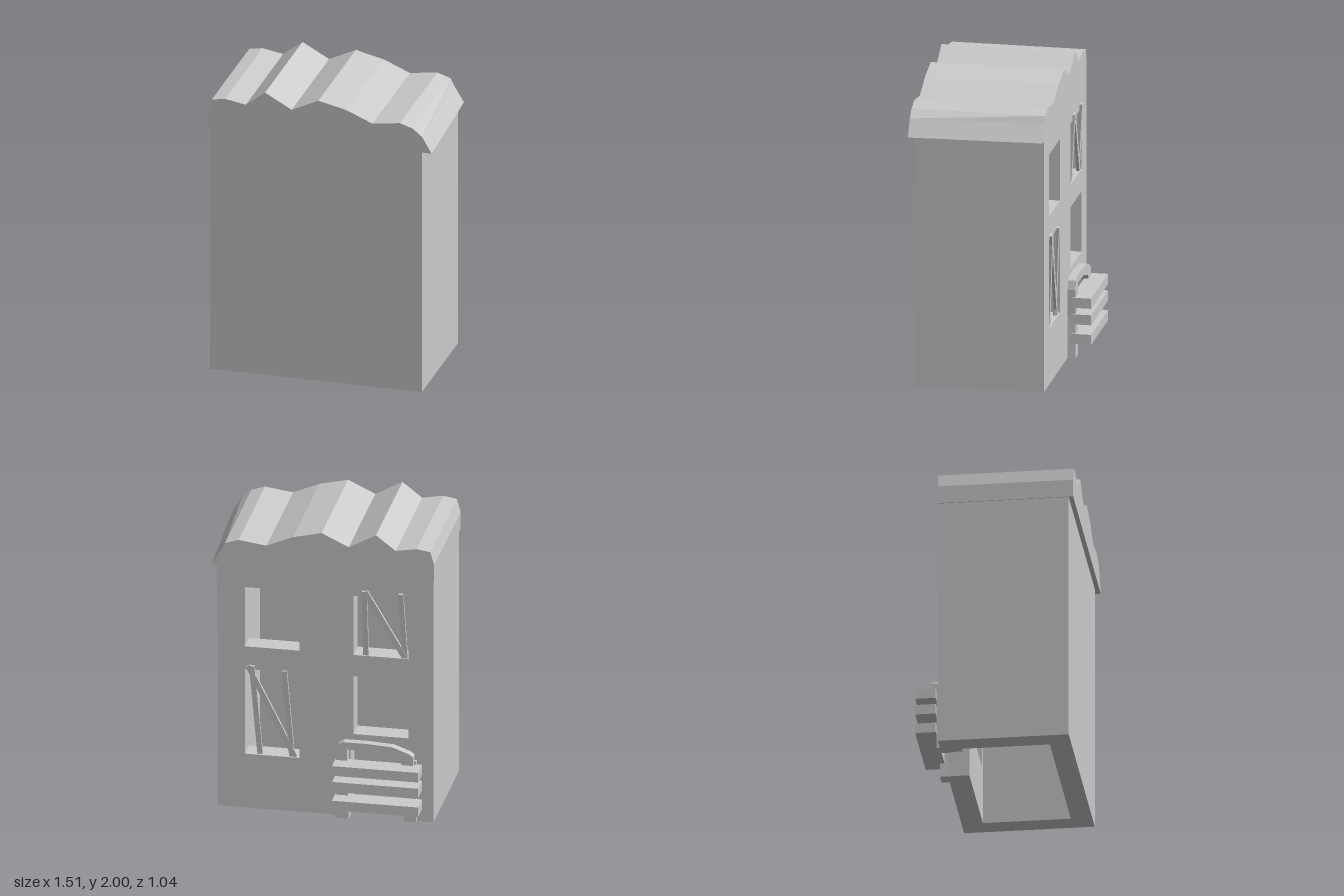
import * as THREE from 'three';

const mat = new THREE.MeshStandardMaterial({ color: 0xcccccc, flatShading: true });
const BACK = -0.365, WALL = 0.14;

export function createModel() {
  const model = new THREE.Group();

  const add = (geo, name, parent = model) => {
    const mesh = new THREE.Mesh(geo, mat);
    mesh.name = name;
    parent.add(mesh);
    return mesh;
  };
  // Box given by its extents on each axis
  const box = (name, x0, x1, y0, y1, z0, z1, parent) =>
    add(new THREE.BoxGeometry(x1 - x0, y1 - y0, z1 - z0), name, parent)
      .position.set((x0 + x1) / 2, (y0 + y1) / 2, (z0 + z1) / 2);
  const polygon = (pts) => new THREE.Shape(pts.map(([x, y]) => new THREE.Vector2(x, y)));
  // Outline in x and y, extruded from z0 to z1
  const slab = (shape, z0, z1) =>
    new THREE.ExtrudeGeometry(shape, { depth: z1 - z0, bevelEnabled: false }).translate(0, 0, z0);
  // Board running between two points
  const board = (name, from, to, width, thick, parent) => {
    const a = new THREE.Vector3(...from), b = new THREE.Vector3(...to);
    const dir = b.clone().sub(a);
    const mesh = add(new THREE.BoxGeometry(width, dir.length(), thick), name, parent);
    mesh.position.copy(a).add(b).multiplyScalar(0.5);
    mesh.quaternion.setFromUnitVectors(new THREE.Vector3(0, 1, 0), dir.normalize());
  };

  // Hollow body, open underneath
  box('frontWall', -0.75, 0.68, 0, 1.7, 0.35, 0.49);
  box('rightWall', -0.75, -0.61, 0, 1.7, BACK + WALL, 0.35);
  box('leftWall', 0.54, 0.68, 0, 1.7, BACK + WALL, 0.35);

  // Back wall with a doorway and four windows
  const wall = polygon([[-0.75, 0], [-0.57, 0], [-0.57, 0.47], [-0.2, 0.47], [-0.2, 0],
    [0.68, 0], [0.68, 1.7], [-0.75, 1.7]]);
  const windows = [[0.135, 0.498, 1.14, 1.56], [-0.585, -0.22, 1.14, 1.56],
    [0.135, 0.498, 0.38, 0.98], [-0.585, -0.22, 0.58, 0.99]];
  for (const [x0, x1, y0, y1] of windows)
    wall.holes.push(polygon([[x0, y0], [x0, y1], [x1, y1], [x1, y0]]));
  add(slab(wall, BACK, BACK + WALL), 'backWall');

  // Wavy roof, its left eave slightly drawn in toward the back
  const roof = slab(polygon([[-0.755, 1.7], [0.755, 1.7], [0.69, 1.81], [0.63, 1.86], [0.54, 1.89],
    [0.355, 1.865], [0.18, 1.94], [-0.01, 1.985], [-0.19, 1.9], [-0.37, 2], [-0.5, 1.9],
    [-0.64, 1.925], [-0.73, 1.91], [-0.755, 1.82]]), BACK, 0.52);
  const p = roof.attributes.position;
  for (let i = 0; i < p.count; i++)
    if (p.getX(i) > 0.65 && p.getZ(i) < 0) p.setX(i, p.getX(i) - 0.035);
  roof.computeVertexNormals();
  add(roof, 'roof');

  // Boards nailed across two of the windows
  const boardUp = (name, posts, diagonal) => {
    const group = new THREE.Group();
    group.name = name;
    for (const [from, to] of posts) board('uprightBoard', from, to, 0.035, 0.018, group);
    board('diagonalBoard', ...diagonal, 0.035, 0.018, group);
    model.add(group);
  };
  boardUp('upperWindowBoards', [
    [[-0.3, 1.13, -0.345], [-0.295, 1.6, -0.372]],
    [[-0.56, 1.13, -0.345], [-0.535, 1.6, -0.372]],
  ], [[-0.56, 1.14, -0.35], [-0.3, 1.6, -0.372]]);
  boardUp('lowerWindowBoards', [
    [[0.4, 0.37, -0.34], [0.45, 1.01, -0.372]],
    [[0.19, 0.37, -0.34], [0.235, 0.99, -0.372]],
  ], [[0.17, 0.38, -0.345], [0.475, 1.01, -0.372]]);

  // Door frame with a bowed lintel
  const door = new THREE.Group();
  door.name = 'doorway';
  model.add(door);
  add(slab(polygon([[-0.2, 0], [-0.11, 0], [-0.12, 0.28], [-0.115, 0.46], [-0.13, 0.52], [-0.165, 0.54],
    [-0.32, 0.54], [-0.49, 0.53], [-0.6, 0.49], [-0.625, 0.47], [-0.625, 0.4], [-0.56, 0.4],
    [-0.53, 0.44], [-0.4, 0.48], [-0.19, 0.49], [-0.19, 0.28]]), -0.418, -0.3), 'doorFrame', door);
  box('rightJamb', -0.64, -0.56, 0, 0.43, -0.388, -0.29, door);

  // Planks barring the door
  for (const y of [0.097, 0.23, 0.342])
    box('doorPlank', -0.68, -0.11, y, y + 0.068, -0.522, -0.388, door);

  return model;
}
